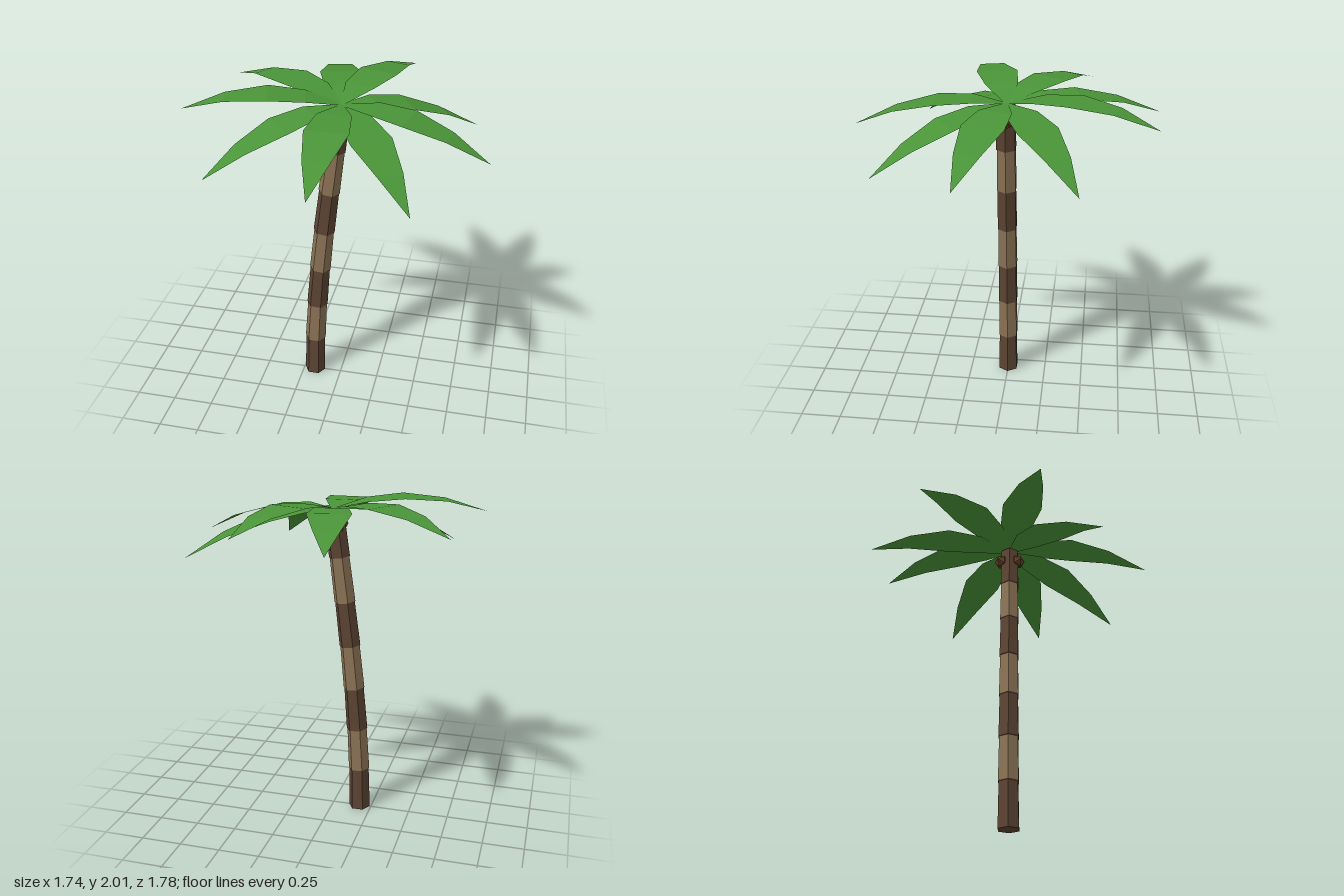
import * as THREE from 'three';

const mat = (color, side = THREE.FrontSide) =>
  new THREE.MeshStandardMaterial({ color, flatShading: true, side });

// Flat arching frond from the crown to a tip, built from five cross-sections
function frondGeometry(crown, tip) {
  const dx = tip.x - crown.x, dz = tip.z - crown.z;
  const length = Math.hypot(dx, dz);
  const ux = dx / length, uz = dz / length;
  const sag = 0.4;
  const rise = (tip.y - crown.y + sag * length * length) / length;
  const sections = [[0, 0.01], [0.225, 0.098], [0.46, 0.124], [0.73, 0.075], [1, 0]];
  const positions = [], indices = [];
  sections.forEach(([t, half], i) => {
    const r = t * length;
    const y = crown.y + rise * r - sag * r * r;
    for (const s of [-1, 1]) {
      positions.push(crown.x + ux * r - uz * half * s, y, crown.z + uz * r + ux * half * s);
    }
    if (i === 0) return;
    const a = 2 * i - 2;
    indices.push(a, a + 1, a + 2);
    if (half > 0) indices.push(a + 1, a + 3, a + 2);
  });
  const geometry = new THREE.BufferGeometry();
  geometry.setAttribute('position', new THREE.Float32BufferAttribute(positions, 3));
  geometry.setIndex(indices);
  geometry.computeVertexNormals();
  // Make the upper side the front face
  if (geometry.attributes.normal.getY(2) < 0) {
    geometry.setIndex(indices.reverse());
    geometry.computeVertexNormals();
  }
  return geometry;
}

export function createModel() {
  const palm = new THREE.Group();
  palm.name = 'palmTree';

  // Leaning trunk: tapered six-sided segments in alternating browns
  const trunk = new THREE.Group();
  trunk.name = 'trunk';
  const barks = [mat(0x5c4433), mat(0x8b7355)];
  const centres = [-0.175, -0.169, -0.153, -0.131, -0.103, -0.07, -0.035, 0];
  const up = new THREE.Vector3(0, 1, 0);
  const step = 1.92 / 7;
  for (let i = 0; i < 7; i++) {
    const a = new THREE.Vector3(centres[i], i * step, 0);
    const b = new THREE.Vector3(centres[i + 1], (i + 1) * step, 0);
    const radius = 0.068 - i * 0.0005;
    const geometry = new THREE.CylinderGeometry(radius * 0.93, radius, a.distanceTo(b), 6);
    geometry.rotateY(Math.PI / 6);
    const segment = new THREE.Mesh(geometry, barks[i % 2]);
    segment.name = 'trunkSegment';
    segment.position.lerpVectors(a, b, 0.5);
    segment.quaternion.setFromUnitVectors(up, b.clone().sub(a).normalize());
    trunk.add(segment);
  }
  palm.add(trunk);

  // Three coconuts around the trunk top
  const nutMaterial = mat(0x6b4528);
  for (let i = 0; i < 3; i++) {
    const angle = (i * Math.PI * 2) / 3;
    const nut = new THREE.Mesh(new THREE.IcosahedronGeometry(0.046, 0), nutMaterial);
    nut.name = 'coconut';
    nut.position.set(0.06 * Math.cos(angle), 1.835, 0.06 * Math.sin(angle));
    nut.rotation.y = -angle;
    palm.add(nut);
  }

  // Nine fronds, each given by its tip
  const crown = new THREE.Vector3(0.005, 1.93, -0.005);
  const tips = [
    [0.02, 1.78, 0.89], [0.51, 1.64, 0.69], [0.87, 1.735, 0.18],
    [0.755, 1.685, -0.455], [0.31, 1.9, -0.865], [-0.2, 1.845, -0.89],
    [-0.76, 1.885, -0.495], [-0.87, 1.918, 0.215], [-0.64, 1.67, 0.575],
  ];
  const leafMaterial = mat(0x4a9438, THREE.DoubleSide);
  const fronds = new THREE.Group();
  fronds.name = 'fronds';
  for (const tip of tips) {
    const frond = new THREE.Mesh(frondGeometry(crown, new THREE.Vector3(...tip)), leafMaterial);
    frond.name = 'frond';
    fronds.add(frond);
  }
  palm.add(fronds);
  return palm;
}
